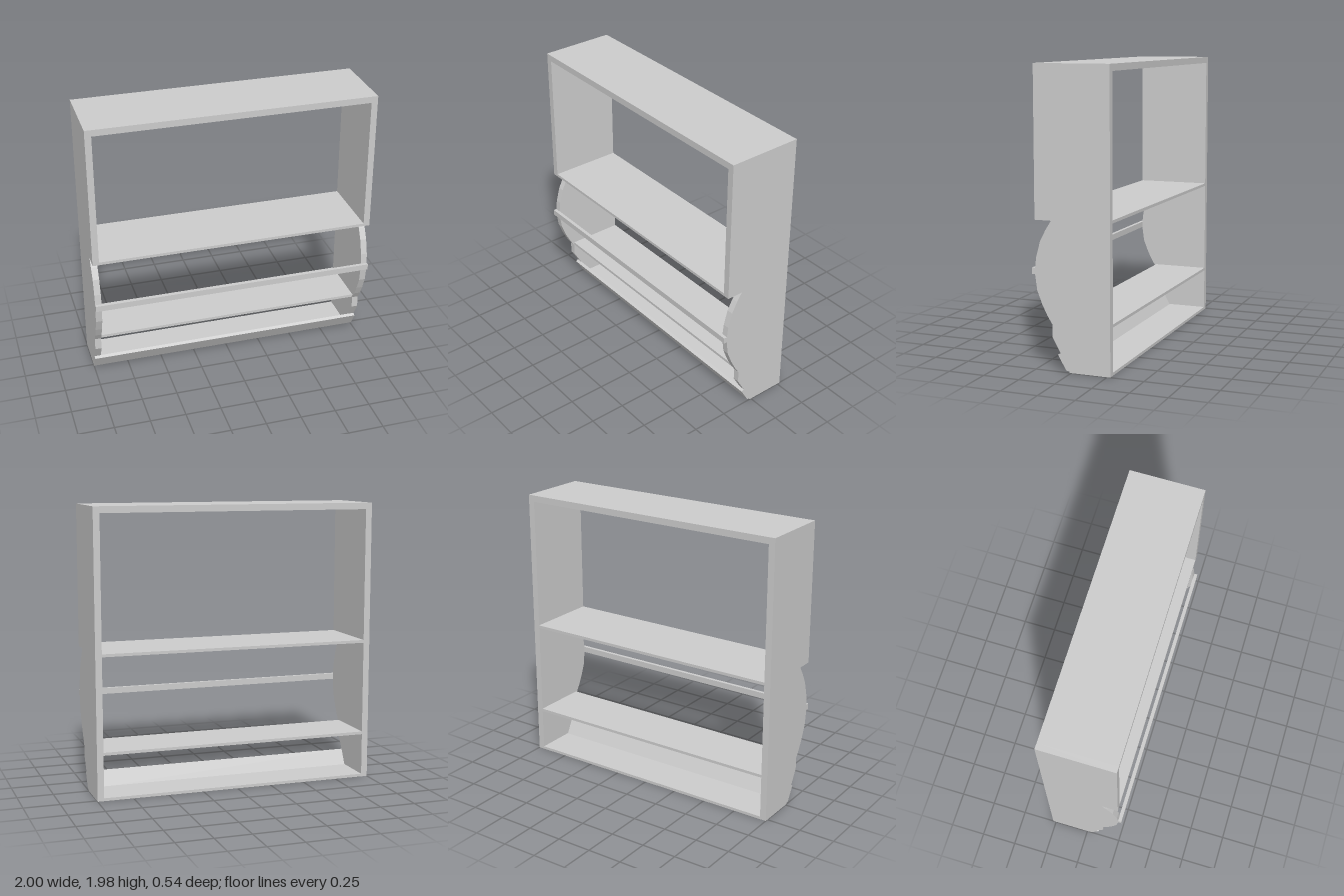
import * as THREE from 'three';

const BACK = -0.272, FRONT = 0.249, TOP = 1.98, INNER = 0.955;

export function createModel() {
  const group = new THREE.Group();
  const material = new THREE.MeshStandardMaterial({ color: 0xcccccc, flatShading: true });

  // Extrudes a [z, y] outline along x, from x0 to x1
  function addProfile(name, points, x0, x1) {
    const shape = new THREE.Shape(points.map(([z, y]) => new THREE.Vector2(-z, y)));
    const geometry = new THREE.ExtrudeGeometry(shape, { depth: x1 - x0, bevelEnabled: false });
    geometry.rotateY(Math.PI / 2).translate(x0, 0, 0);
    const mesh = new THREE.Mesh(geometry, material);
    mesh.name = name;
    group.add(mesh);
  }

  // Board given by its x half-width and its y and z ranges
  function addBoard(name, halfWidth, y0, y1, z0, z1) {
    const mesh = new THREE.Mesh(new THREE.BoxGeometry(2 * halfWidth, y1 - y0, z1 - z0), material);
    mesh.position.set(0, (y0 + y1) / 2, (z0 + z1) / 2);
    mesh.name = name;
    group.add(mesh);
  }

  // Side panels with a scalloped lower front edge
  const side = [
    [BACK, 0], [0.013, 0], [0.013, 0.01], [0.072, 0.123], [0.13, 0.225], [0.13, 0.31],
    [0.165, 0.365], [0.2, 0.435], [0.235, 0.525], [FRONT, 0.63], [FRONT, 0.67],
    [0.24, 0.745], [0.211, 0.85], [0.172, 0.925], [0.133, 0.985], [FRONT, 0.985],
    [FRONT, TOP], [BACK, TOP],
  ];
  addProfile('leftSide', side, INNER, 1);
  addProfile('rightSide', side, -1, -INNER);

  // Horizontal boards between the sides
  addBoard('topBoard', INNER, 1.935, TOP, BACK, FRONT);
  addBoard('upperShelf', INNER, 0.985, 1.005, BACK, FRONT);
  addBoard('lowerShelf', INNER, 0.315, 0.335, BACK, 0.13);
  addBoard('bottomBoard', INNER, 0, 0.02, BACK, 0.013);

  // Rail across the front of the curved sides
  addBoard('frontRail', 1, 0.63, 0.672, 0.247, 0.272);

  // Slanted lip at the bottom
  addProfile('slantedLip', [[0.013, 0.01], [0.034, 0.013], [0.092, 0.113], [0.072, 0.125]], -1, 1);

  return group;
}
